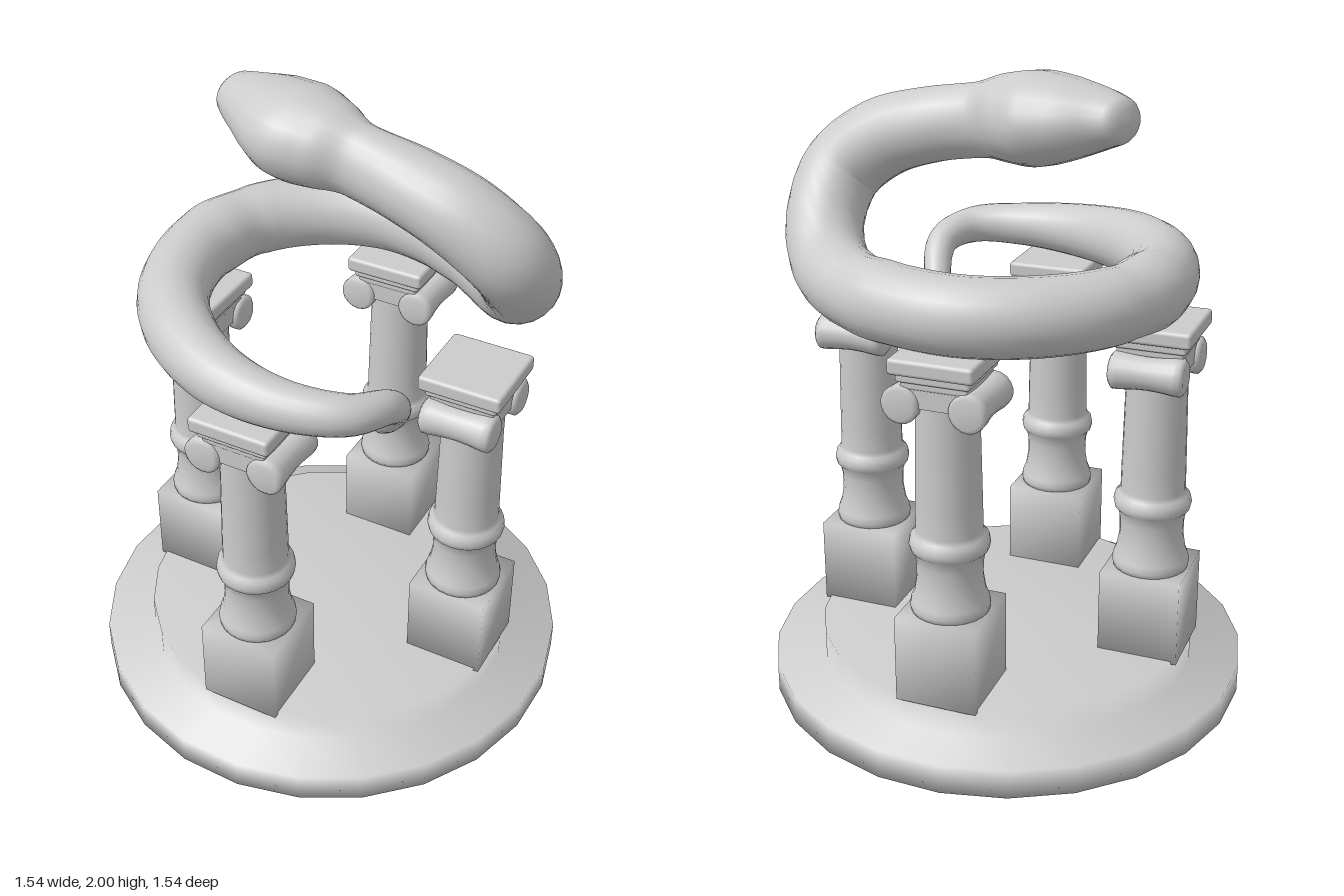
import * as THREE from 'three';
import { mergeVertices } from 'three/addons/utils/BufferGeometryUtils.js';
import { RoundedBoxGeometry } from 'three/addons/geometries/RoundedBoxGeometry.js';

const material = new THREE.MeshStandardMaterial({ color: 0xcccccc });

function add(parent, name, geometry, x = 0, y = 0, z = 0) {
  const mesh = new THREE.Mesh(geometry, material);
  mesh.name = name;
  mesh.position.set(x, y, z);
  parent.add(mesh);
  return mesh;
}

const lathe = (points, sides) =>
  new THREE.LatheGeometry(points.map(([r, y]) => new THREE.Vector2(r, y)), sides);

// Box with normals shared across its edges, for a soft worn look
function softBox(w, h, d) {
  const box = new THREE.BoxGeometry(w, h, d);
  box.deleteAttribute('normal');
  box.deleteAttribute('uv');
  const merged = mergeVertices(box);
  merged.computeVertexNormals();
  return merged;
}

// Column local frame: +z points outward from the centre
function createColumn() {
  const column = new THREE.Group();
  column.name = 'column';
  add(column, 'plinth', softBox(0.257, 0.28, 0.257), 0, 0.32, 0);

  // Flared foot, ring and slightly tapering shaft
  add(column, 'shaft', lathe([
    [0, 0.455], [0.118, 0.455], [0.122, 0.475], [0.118, 0.495], [0.108, 0.52], [0.1, 0.57],
    [0.101, 0.62], [0.108, 0.652], [0.118, 0.662], [0.122, 0.68], [0.118, 0.7], [0.108, 0.71],
    [0.101, 0.725], [0.1, 0.8], [0.095, 1.05], [0.095, 1.22],
  ], 24));

  // Scroll bolsters, slightly narrowed in the middle
  const volute = lathe([
    [0, -0.115], [0.045, -0.115], [0.058, -0.105], [0.058, -0.085], [0.053, -0.04],
    [0.051, 0], [0.053, 0.04], [0.058, 0.085], [0.058, 0.105], [0.045, 0.115], [0, 0.115],
  ], 18);
  for (const side of [-1, 1]) {
    add(column, 'volute', volute, side * 0.103, 1.137, 0).rotation.x = Math.PI / 2;
  }
  add(column, 'capitalBlock', new THREE.BoxGeometry(0.2, 0.08, 0.2), 0, 1.17, 0);

  // Stepped slabs up to the abacus
  add(column, 'lowerSlab', new RoundedBoxGeometry(0.205, 0.03, 0.205, 2, 0.008), 0, 1.2, 0);
  add(column, 'middleSlab', new RoundedBoxGeometry(0.225, 0.03, 0.225, 2, 0.008), 0, 1.222, 0);
  add(column, 'abacus', new RoundedBoxGeometry(0.262, 0.05, 0.262, 2, 0.012), 0, 1.257, 0);
  return column;
}

// Sweeps an ellipse along a curve; each station is [x, y, z, halfWidth, halfHeight]
function sweep(stations, steps, sides) {
  const curve = new THREE.CatmullRomCurve3(stations.map(([x, y, z]) => new THREE.Vector3(x, y, z)));
  const sizes = new THREE.CatmullRomCurve3(
    stations.map(([, , , w, h = w]) => new THREE.Vector3(w, h, 0)));
  const up = new THREE.Vector3(0, 1, 0);
  const positions = [], index = [];

  // Rows of [t, scale, overshoot]: shrinking rings round off both ends
  const cap = [[0, 0.35], [0.55, 0.28], [0.85, 0.15]];
  const rows = cap.map(([scale, out]) => [0, scale, -out]);
  for (let i = 0; i <= steps; i++) rows.push([i / steps, 1, 0]);
  for (const [scale, out] of cap.reverse()) rows.push([1, scale, out]);

  rows.forEach(([t, scale, out], i) => {
    const tangent = curve.getTangent(t);
    const right = new THREE.Vector3().crossVectors(tangent, up).normalize();
    const top = new THREE.Vector3().crossVectors(right, tangent);
    const size = sizes.getPoint(t);
    const center = curve.getPoint(t).addScaledVector(tangent, out * size.x);
    for (let j = 0; j < sides; j++) {
      const angle = (j / sides) * Math.PI * 2;
      const p = center.clone()
        .addScaledVector(right, Math.cos(angle) * size.x * scale)
        .addScaledVector(top, Math.sin(angle) * size.y * scale);
      positions.push(p.x, p.y, p.z);
      if (i === 0) continue;
      const k = (j + 1) % sides;
      const a = (i - 1) * sides + j, b = (i - 1) * sides + k;
      const c = i * sides + j, d = i * sides + k;
      index.push(a, c, b, b, c, d);
    }
  });

  const geometry = new THREE.BufferGeometry();
  geometry.setAttribute('position', new THREE.Float32BufferAttribute(positions, 3));
  geometry.setIndex(index);
  geometry.computeVertexNormals();
  return geometry;
}

// Tail tip, loop over the columns, rising neck, then the flattened head
const snakeStations = [
  [0.13, 1.03, 0.2, 0.03],
  [0.135, 1.12, 0.3, 0.036],
  [0.135, 1.23, 0.4, 0.043],
  [0.09, 1.33, 0.51, 0.05],
  [-0.03, 1.36, 0.57, 0.06],
  [-0.2, 1.365, 0.51, 0.072],
  [-0.36, 1.37, 0.36, 0.09],
  [-0.455, 1.38, 0.15, 0.104],
  [-0.465, 1.385, -0.08, 0.11],
  [-0.36, 1.39, -0.32, 0.113],
  [-0.18, 1.39, -0.46, 0.113],
  [0.04, 1.39, -0.495, 0.115],
  [0.25, 1.39, -0.435, 0.116],
  [0.41, 1.39, -0.28, 0.117],
  [0.5, 1.39, -0.1, 0.117],
  [0.535, 1.42, 0.07, 0.118],
  [0.525, 1.52, 0.2, 0.12],
  [0.455, 1.65, 0.275, 0.125],
  [0.34, 1.75, 0.23, 0.122],
  [0.21, 1.805, 0.13, 0.114],
  [0.08, 1.835, 0.02, 0.096, 0.112],
  [0.005, 1.852, -0.05, 0.142, 0.13],
  [-0.07, 1.862, -0.13, 0.176, 0.138],
  [-0.135, 1.875, -0.215, 0.156, 0.118],
  [-0.195, 1.885, -0.29, 0.112, 0.09],
  [-0.235, 1.89, -0.35, 0.08, 0.066],
];

export function createModel() {
  const model = new THREE.Group();

  // Two-step round base, softly shaded
  add(model, 'base', lathe([
    [0, 0], [0.772, 0], [0.772, 0.093], [0.612, 0.093], [0.612, 0.19], [0, 0.19],
  ], 24));

  // Four columns around the base, facing outward
  const start = Math.atan2(0.39, 0.28);
  for (let i = 0; i < 4; i++) {
    const angle = start + (i * Math.PI) / 2;
    const column = createColumn();
    column.position.set(Math.sin(angle) * 0.483, 0, Math.cos(angle) * 0.483);
    column.rotation.y = angle;
    model.add(column);
  }

  add(model, 'snake', sweep(snakeStations, 180, 20));
  return model;
}
